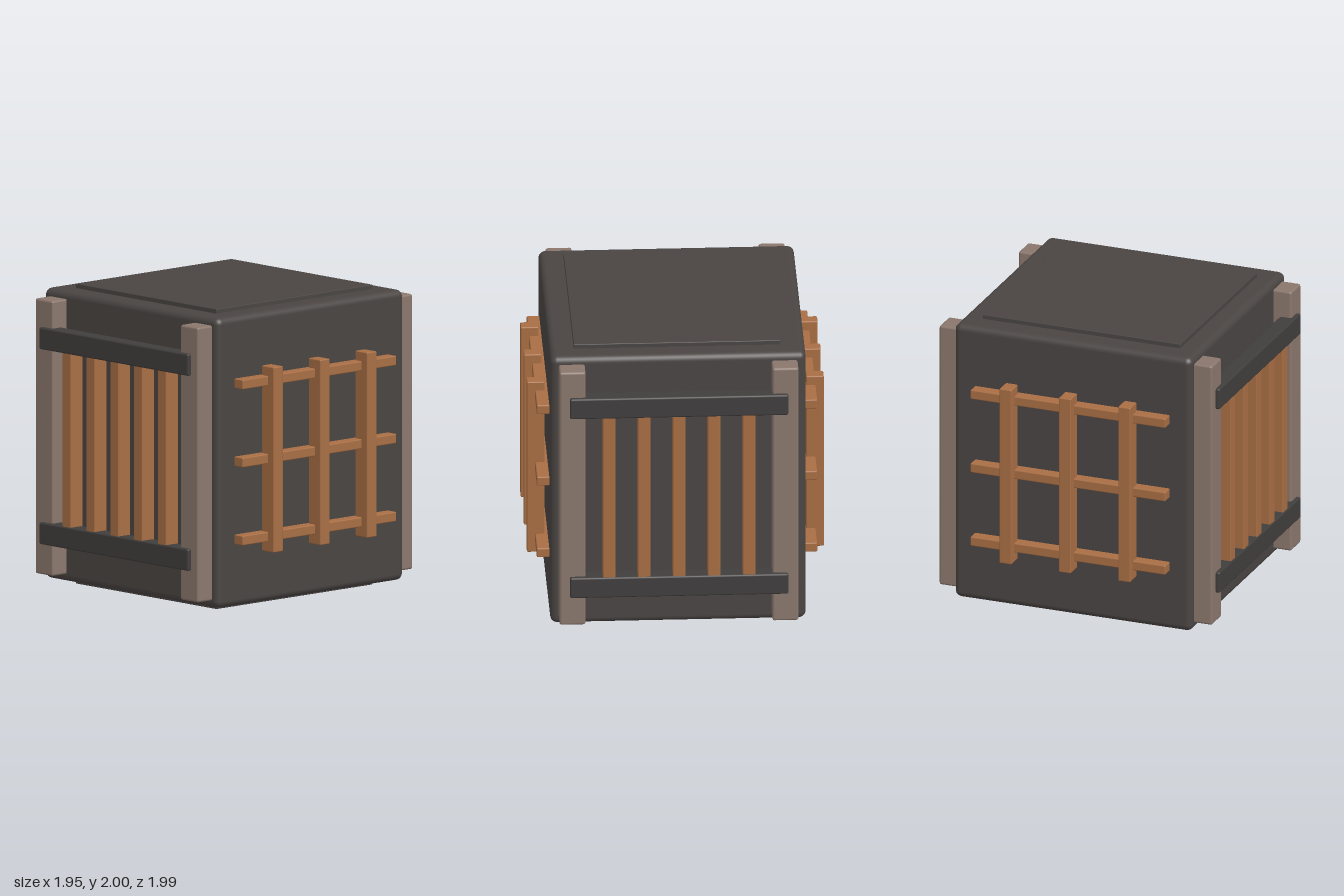
import * as THREE from 'three';
import { RoundedBoxGeometry } from 'three/addons/geometries/RoundedBoxGeometry.js';

const material = (name, color) => {
  const m = new THREE.MeshStandardMaterial({ color });
  m.name = name;
  return m;
};

export function createModel() {
  const charcoal = material('charcoal', 0x4a4543);
  const iron = material('dark iron', 0x403e3d);
  const stone = material('taupe', 0x8a776d);
  const wood = material('warm wood', 0xa86e44);

  const model = new THREE.Group();
  model.name = 'crate';

  // Softly bevelled block, given by its centre and size
  const block = (parent, name, mat, [x, y, z], [w, h, d], radius = 0.01, segments = 2) => {
    const mesh = new THREE.Mesh(new RoundedBoxGeometry(w, h, d, segments, radius), mat);
    mesh.name = name;
    mesh.position.set(x, y, z);
    parent.add(mesh);
  };

  // Main body with a thin plate through top and bottom
  block(model, 'body', charcoal, [0, 1.003, 0], [1.68, 1.934, 1.68], 0.045, 4);
  for (const [name, y] of [['topPlate', 1.97], ['bottomPlate', 0.03]]) {
    block(model, name, charcoal, [0, y, 0], [1.36, 0.06, 1.4], 0.005);
  }

  // Front and back: corner posts, rails and upright slats
  for (const side of [1, -1]) {
    const face = new THREE.Group();
    face.name = side > 0 ? 'frontGrille' : 'backGrille';
    face.rotation.y = side > 0 ? 0 : Math.PI;
    for (const x of [-0.7, 0.7]) {
      block(face, 'cornerPost', stone, [x, 1.003, 0.893], [0.172, 1.834, 0.145], 0.015);
    }
    for (const y of [0.365, 1.665]) {
      block(face, 'rail', iron, [0, y, 0.938], [1.436, 0.146, 0.11], 0.012);
    }
    for (let i = -2; i <= 2; i++) {
      block(face, 'slat', wood, [i * 0.23, 1.015, 0.931], [0.084, 1.22, 0.11], 0.008);
    }
    model.add(face);
  }

  // Left and right: wooden lattice
  for (const side of [1, -1]) {
    const lattice = new THREE.Group();
    lattice.name = side > 0 ? 'leftLattice' : 'rightLattice';
    for (const i of [-1, 0, 1]) {
      block(lattice, 'crossBar', wood, [side * 0.88, 1.005 + i * 0.52, 0], [0.085, 0.065, 1.38], 0.008);
      block(lattice, 'uprightBar', wood, [side * 0.918, 1.003, i * 0.42], [0.117, 1.236, 0.086], 0.008);
    }
    model.add(lattice);
  }

  return model;
}
